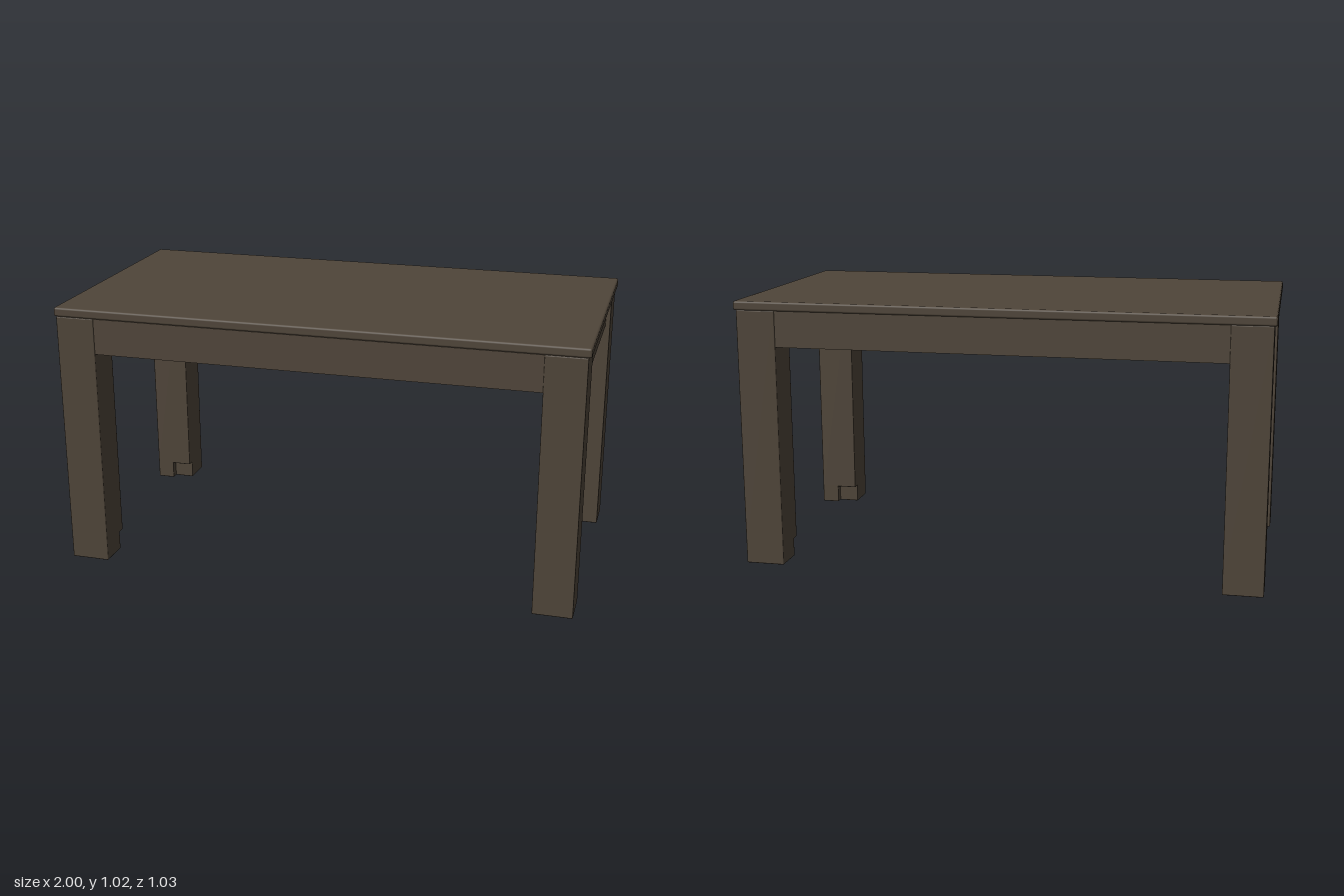
import * as THREE from 'three';
import { RoundedBoxGeometry } from 'three/addons/geometries/RoundedBoxGeometry.js';

export function createModel() {
  const model = new THREE.Group();
  model.name = 'table';
  const wood = new THREE.MeshStandardMaterial({ color: 0x4f4539 });
  wood.name = 'dark wood';

  // Box given by its minimum and maximum corners, with softened edges
  function board(name, min, max, radius, parent = model) {
    const s = max.map((v, i) => v - min[i]);
    const geo = radius
      ? new RoundedBoxGeometry(s[0], s[1], s[2], 2, radius)
      : new THREE.BoxGeometry(s[0], s[1], s[2]);
    const mesh = new THREE.Mesh(geo, wood);
    mesh.name = name;
    mesh.position.set(...max.map((v, i) => (v + min[i]) / 2));
    parent.add(mesh);
    return mesh;
  }

  // Mirrored ranges along an axis
  const side = (s, a, b) => (s > 0 ? [a, b] : [-b, -a]);

  // Table top
  board('tableTop', [-1, 0.993, -0.515], [1, 1.028, 0.51], 0.008);

  // Legs, each with a small recess in the inner corner of the foot
  for (const sx of [1, -1]) {
    for (const sz of [1, -1]) {
      const leg = new THREE.Group();
      leg.name = (sz > 0 ? 'front' : 'back') + (sx > 0 ? 'Left' : 'Right') + 'Leg';
      model.add(leg);
      const [x0, x1] = side(sx, 0.84, 0.99);
      const [z0, z1] = side(sz, 0.363, 0.512);
      board('legPost', [x0, 0.075, z0], [x1, 0.994, z1], 0.004, leg);
      const [f0, f1] = side(sz, 0.393, 0.512);
      board('foot', [x0, 0.005, f0], [x1, 0.085, f1], 0.004, leg);
      const [e0, e1] = side(sx, 0.92, 0.99);
      const [g0, g1] = side(sz, 0.363, 0.403);
      board('footLip', [e0, 0.005, g0], [e1, 0.085, g1], 0.004, leg);
    }
  }

  // Long aprons, flush with the legs
  for (const s of [1, -1]) {
    const [z0, z1] = side(s, 0.475, 0.509);
    board(s > 0 ? 'frontApron' : 'backApron', [-0.85, 0.857, z0], [0.85, 0.994, z1]);
  }

  // Short aprons, set slightly in from the legs
  for (const s of [1, -1]) {
    const [x0, x1] = side(s, 0.94, 0.972);
    board(s > 0 ? 'leftApron' : 'rightApron', [x0, 0.865, -0.37], [x1, 0.994, 0.37]);
  }

  // Cross rail under the top
  board('crossRail', [-0.015, 0.95, -0.48], [0.015, 0.994, 0.48]);

  return model;
}
